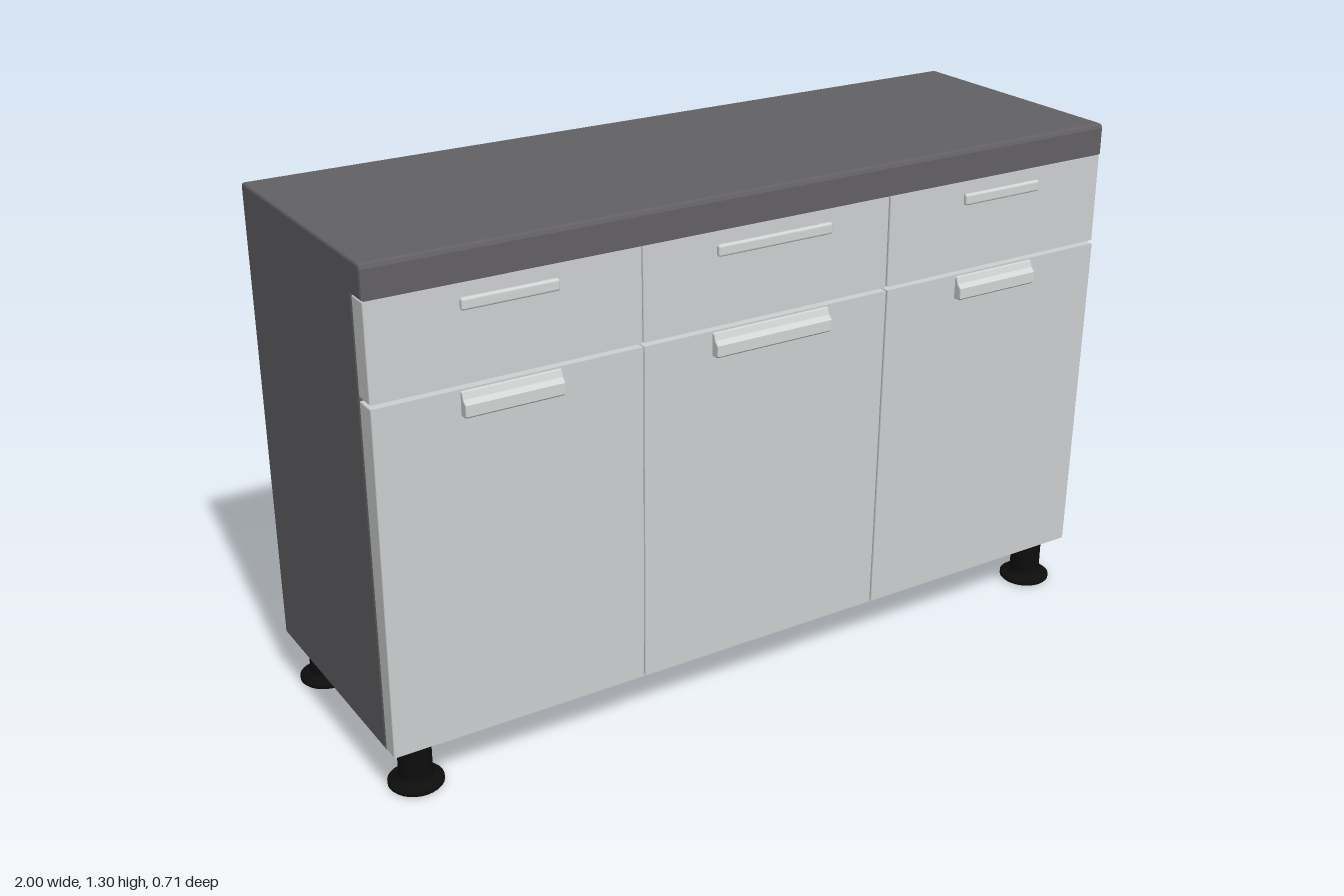
import * as THREE from 'three';
import { RoundedBoxGeometry } from 'three/addons/geometries/RoundedBoxGeometry.js';

const mat = (name, color) => {
  const m = new THREE.MeshStandardMaterial({ color });
  m.name = name;
  return m;
};

// Extrudes a side profile of [z, y] points along x, centred on x = 0
function extrudeAlongX(points, width, bevel) {
  const shape = new THREE.Shape(points.map(([z, y]) => new THREE.Vector2(z, y)));
  const geo = new THREE.ExtrudeGeometry(shape, {
    depth: width - 2 * bevel, bevelEnabled: true, bevelThickness: bevel,
    bevelSize: bevel, bevelOffset: -bevel, bevelSegments: 2,
  });
  geo.translate(0, 0, -(width - 2 * bevel) / 2);
  return geo.rotateY(-Math.PI / 2);
}

export function createModel() {
  const model = new THREE.Group();
  model.name = 'sideboard';
  const carcassGrey = mat('carcass grey', 0x626063);
  const frontGrey = mat('front light grey', 0xcdcfd0);
  const handleGrey = mat('handle pale grey', 0xd2d4d5);
  const footBlack = mat('foot black', 0x0d0d0d);

  const add = (name, geo, material, x = 0, y = 0, z = 0, parent = model) => {
    const mesh = new THREE.Mesh(geo, material);
    mesh.name = name;
    mesh.position.set(x, y, z);
    parent.add(mesh);
    return mesh;
  };

  // Carcass and overhanging worktop in one piece, with softened top edges
  add('carcass', extrudeAlongX([
    [-0.342, 0.128], [0.28, 0.128], [0.28, 1.221], [0.332, 1.221],
    [0.332, 1.289], [0.329, 1.297], [0.321, 1.3],
    [-0.331, 1.3], [-0.339, 1.297], [-0.342, 1.289],
  ], 2, 0.006), carcassGrey);

  // Front panel whose face leans from zBottom to zTop
  const panel = (name, x0, x1, y0, y1, zBottom, zTop) => {
    const geo = extrudeAlongX(
      [[0.274, y0], [zBottom, y0], [zTop, y1], [0.274, y1]], x1 - x0, 0.003);
    add(name, geo, frontGrey, (x0 + x1) / 2);
  };

  // Three columns: a drawer above a door, each with a handle
  const columns = [
    { side: 'right', x0: -0.998, x1: -0.346, hx: -0.675, hw: 0.24 },
    { side: 'middle', x0: -0.344, x1: 0.331, hx: -0.004, hw: 0.32 },
    { side: 'left', x0: 0.335, x1: 0.996, hx: 0.664, hw: 0.24 },
  ];
  const gripProfile = [
    [0.325, 0.984], [0.340, 0.980], [0.345, 0.965], [0.356, 0.955],
    [0.356, 0.929], [0.350, 0.924], [0.325, 0.924],
  ];
  for (const { side, x0, x1, hx, hw } of columns) {
    panel(side + 'Drawer', x0, x1, 0.994, 1.22, 0.331, 0.331);
    panel(side + 'Door', x0, x1, 0.129, 0.986, 0.32, 0.334);

    // Slim bar on two posts
    const bar = new THREE.Group();
    bar.name = side + 'DrawerHandle';
    model.add(bar);
    add('bar', new RoundedBoxGeometry(hw - 0.008, 0.028, 0.014, 2, 0.006), handleGrey, hx, 1.18, 0.347, bar);
    for (const s of [-1, 1]) {
      add('post', new THREE.BoxGeometry(0.02, 0.018, 0.02), handleGrey,
        hx + s * (hw / 2 - 0.025), 1.18, 0.334, bar);
    }

    // Chunky sloped grip
    add(side + 'DoorHandle', extrudeAlongX(gripProfile, hw, 0.003), handleGrey, hx);
  }

  // Round feet: flared base plate below a plain column
  const footGeo = new THREE.LatheGeometry([
    [0, 0.002], [0.062, 0.002], [0.066, 0.006], [0.066, 0.014], [0.058, 0.02],
    [0.044, 0.024], [0.04, 0.034], [0.04, 0.135],
  ].map(([r, y]) => new THREE.Vector2(r, y)), 28);
  footGeo.translate(0, -0.002, 0);
  for (const x of [-0.922, 0.926]) {
    for (const z of [0.252, -0.288]) {
      add(z > 0 ? 'frontFoot' : 'backFoot', footGeo, footBlack, x, 0, z);
    }
  }
  return model;
}
